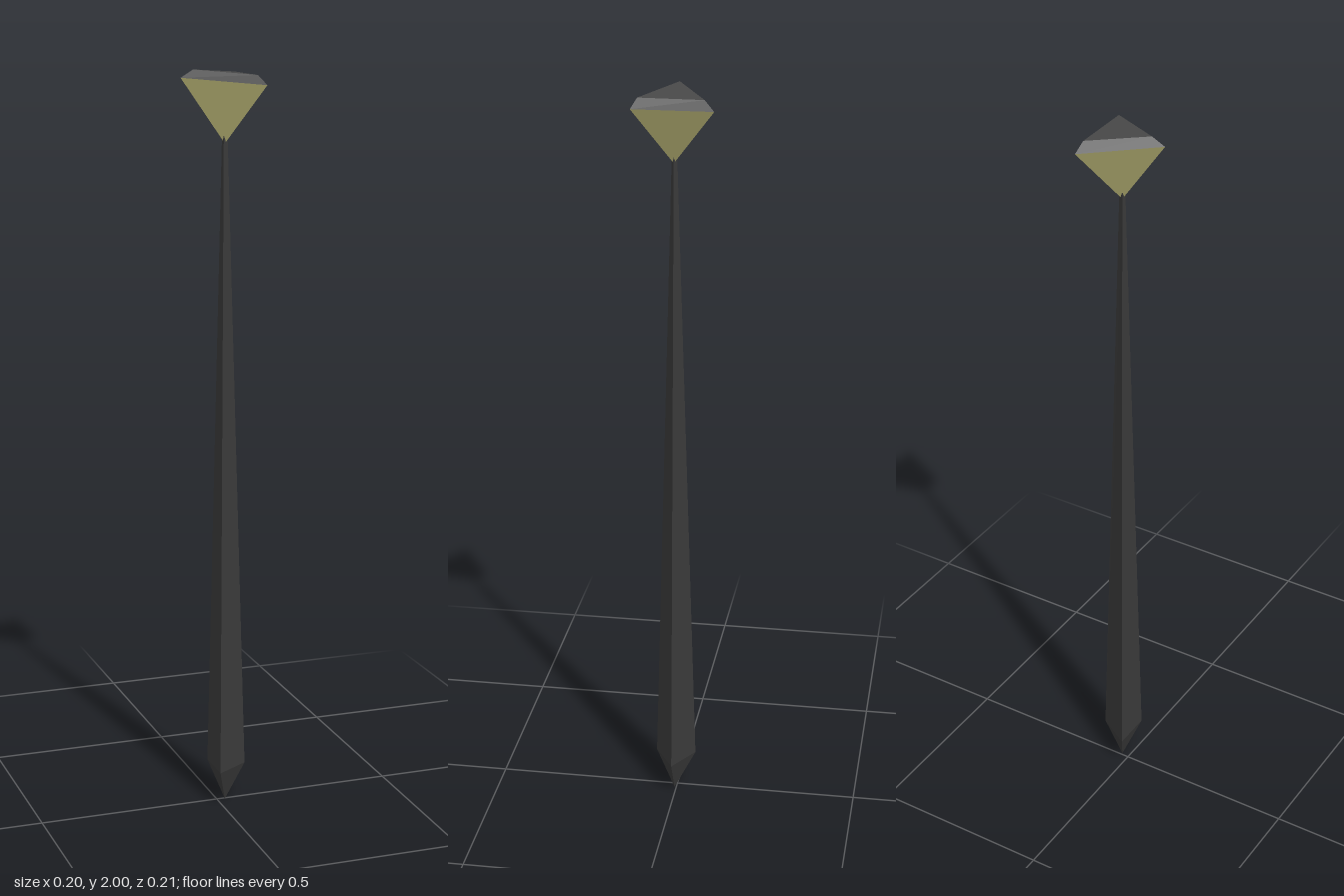
import * as THREE from 'three';

// Joins three-cornered rings from bottom to top; a ring of equal corners is a tip.
// Corners run counter-clockwise seen from above.
function loft(name, rings, color) {
  const pos = [];
  for (let r = 0; r < rings.length - 1; r++) {
    const a = rings[r], b = rings[r + 1];
    for (let i = 0; i < 3; i++) {
      const j = (i + 1) % 3;
      if (a[i] !== a[j]) pos.push(...a[i], ...a[j], ...b[j]);
      if (b[i] !== b[j]) pos.push(...a[i], ...b[j], ...b[i]);
    }
  }
  // Cap the top, unless it ends in a tip
  const top = rings[rings.length - 1];
  if (top[0] !== top[1]) pos.push(...top[0], ...top[1], ...top[2]);

  const geometry = new THREE.BufferGeometry();
  geometry.setAttribute('position', new THREE.Float32BufferAttribute(pos, 3));
  geometry.computeVertexNormals();
  const material = new THREE.MeshStandardMaterial({ color, flatShading: true, side: THREE.DoubleSide });
  const mesh = new THREE.Mesh(geometry, material);
  mesh.name = name;
  return mesh;
}

const tip = (x, y, z) => Array(3).fill([x, y, z]);

export function createModel() {
  const group = new THREE.Group();
  group.name = 'spike';

  // Slender three-sided shaft, pointed at the foot
  const foot = [[-0.01, 0.1, 0.06], [0.08, 0.1, 0.005], [-0.01, 0.1, -0.05]];
  const neck = [[0.015, 1.83, 0.012], [0.028, 1.83, 0.005], [0.015, 1.83, -0.002]];
  group.add(loft('shaft', [tip(0.022, 0, 0.005), foot, neck], 0x3a3a3a));

  // Slightly tilted three-sided head: pale underside and dark bevelled cap
  const rim = [[-0.1, 1.98, 0.007], [0.1, 1.963, 0.103], [0.085, 1.96, -0.105]];
  const table = [[-0.065, 2.0, 0.004], [0.08, 1.988, 0.088], [0.077, 1.987, -0.08]];
  group.add(loft('headUnderside', [tip(0.02, 1.81, 0.006), rim], 0xb3af72));
  group.add(loft('headCap', [rim, table], 0x484848));
  return group;
}
